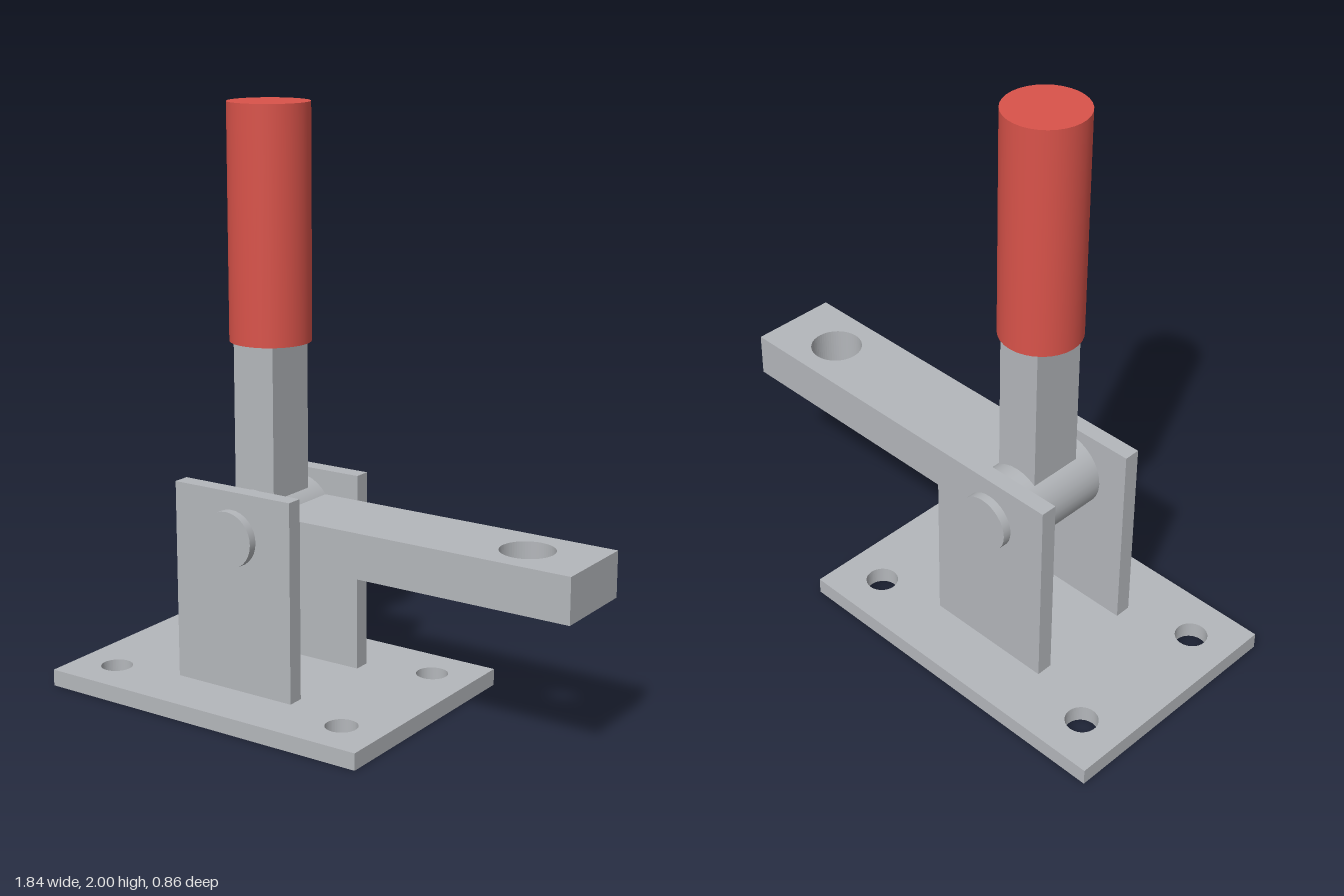
import * as THREE from 'three';

export function createModel() {
  const steel = new THREE.MeshStandardMaterial({ color: 0xb4b7bb });
  steel.name = 'steel';
  const red = new THREE.MeshStandardMaterial({ color: 0xd9534a });
  red.name = 'red grip';

  const model = new THREE.Group();
  model.name = 'toggleClamp';
  const pivotX = -0.296, pivotY = 0.59;

  const add = (name, geometry, material, x, y, z) => {
    const mesh = new THREE.Mesh(geometry, material);
    mesh.name = name;
    mesh.position.set(x, y, z);
    model.add(mesh);
    return mesh;
  };

  // Horizontal rectangular plate with round through-holes, bottom at y = 0
  const drilledPlate = (x0, x1, halfZ, height, holes) => {
    const shape = new THREE.Shape([
      new THREE.Vector2(x0, -halfZ), new THREE.Vector2(x1, -halfZ),
      new THREE.Vector2(x1, halfZ), new THREE.Vector2(x0, halfZ),
    ]);
    for (const [x, z, r] of holes) {
      shape.holes.push(new THREE.Path().absarc(x, z, r, 0, Math.PI * 2, true));
    }
    const geometry = new THREE.ExtrudeGeometry(shape, { depth: height, bevelEnabled: false, curveSegments: 32 });
    return geometry.rotateX(-Math.PI / 2);
  };

  // Cylinder lying along z
  const zCylinder = (radius, length) =>
    new THREE.CylinderGeometry(radius, radius, length, 32).rotateX(Math.PI / 2);

  // Base with four mounting holes
  const mountHoles = [];
  for (const x of [-0.768, 0.175]) for (const z of [-0.275, 0.275]) mountHoles.push([x, z, 0.055]);
  add('basePlate', drilledPlate(-0.921, 0.33, 0.43, 0.058, mountHoles), steel, 0, 0, 0);

  // Upright side plates and pin heads
  for (const [side, s] of [['left', 1], ['right', -1]].map(([n, v]) => [n === 'left' ? 'front' : 'back', v])) {
    add(side + 'SidePlate', new THREE.BoxGeometry(0.467, 0.69, 0.058), steel, pivotX, 0.403, s * 0.196);
    add(side + 'PinHead', zCylinder(0.097, 0.031), steel, pivotX, pivotY, s * 0.24);
  }

  // Pivot pin and hub
  add('pivotPin', zCylinder(0.058, 0.46), steel, pivotX, pivotY, 0);
  add('hub', zCylinder(0.135, 0.312), steel, pivotX, pivotY, 0);

  // Clamping arm with a hole near its tip
  add('clampArm', drilledPlate(pivotX, 0.918, 0.155, 0.154, [[0.685, 0, 0.09]]), steel, 0, 0.513, 0);

  // Handle bar and grip
  add('handleBar', new THREE.BoxGeometry(0.158, 0.65, 0.196), steel, pivotX, 0.915, 0);
  add('grip', new THREE.CylinderGeometry(0.137, 0.137, 0.783, 32), red, pivotX, 1.6085, 0);

  return model;
}
